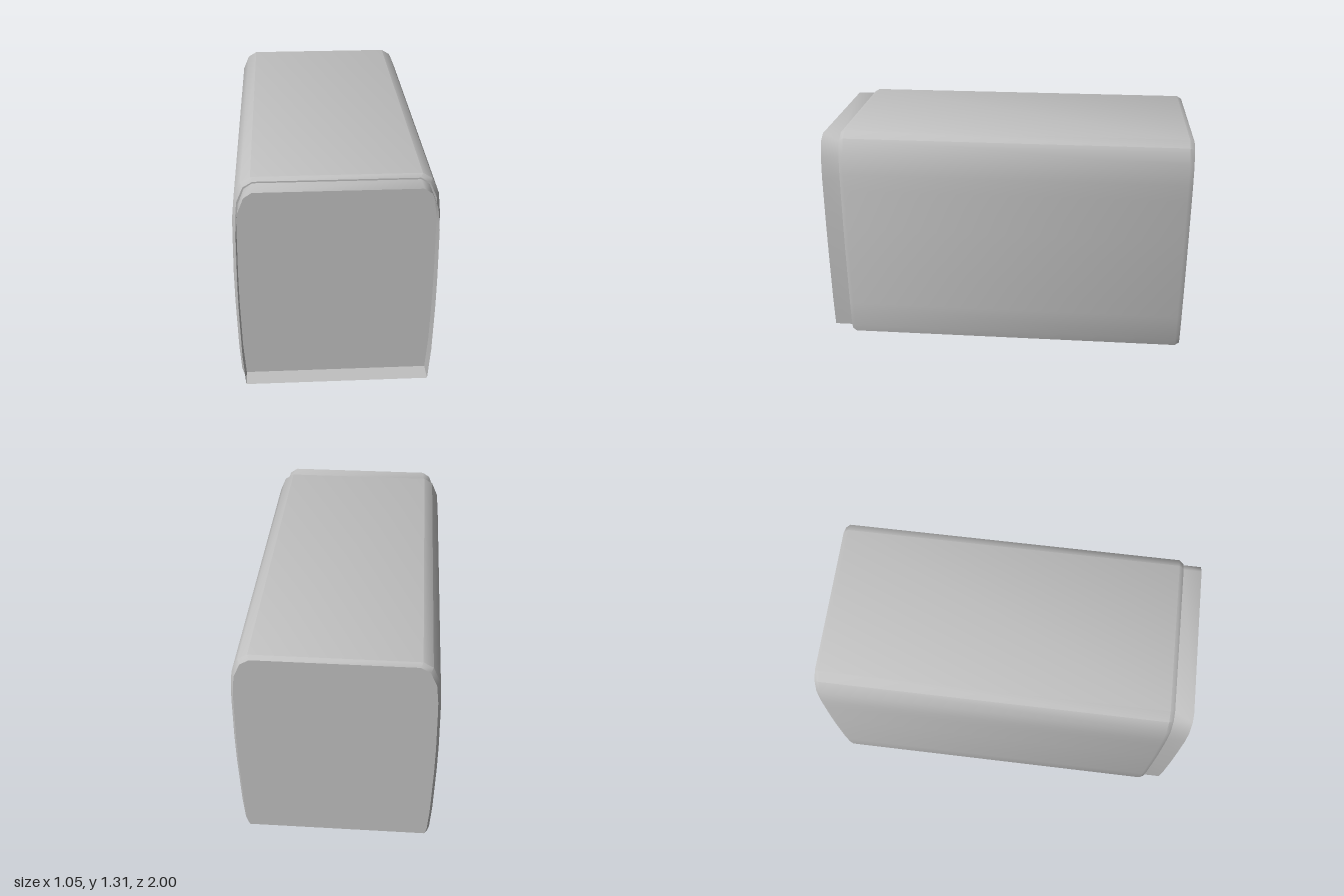
import * as THREE from 'three';
import { toCreasedNormals } from 'three/addons/utils/BufferGeometryUtils.js';

// Right half of each cross-section, bottom to top
const BODY = [[0.49, 0.115], [0.498, 0.105], [0.51, 0.15], [0.519, 0.3], [0.525, 0.6], [0.525, 0.77],
  [0.52, 1.0], [0.517, 1.09], [0.505, 1.2], [0.47, 1.282], [0.42, 1.312]];
const COLLAR = [[0.485, 0.14], [0.497, 0.33], [0.502, 0.6], [0.502, 0.77], [0.497, 1.06],
  [0.484, 1.18], [0.452, 1.262], [0.41, 1.29]];

// Closed counter-clockwise outline, optionally shrunk about the middle
function outline(half, inset = 0) {
  const midY = 0.71;
  const right = half.map(([x, y]) => [
    x * (1 - inset / 0.525),
    y > midY ? midY + (y - midY) * (1 - inset / 0.6) : Math.max(y, inset ? 0.115 : 0),
  ]);
  return [...right, ...right.slice().reverse().map(([x, y]) => [-x, y])];
}

// Skin through a list of [outline, z] sections
function loft(sections) {
  const pos = [], index = [], n = sections[0][0].length;
  for (const [pts, z] of sections) for (const [x, y] of pts) pos.push(x, y, z);
  for (let i = 0; i < sections.length - 1; i++) {
    for (let j = 0; j < n; j++) {
      const a = i * n + j, b = i * n + (j + 1) % n;
      index.push(a, b, b + n, a, b + n, a + n);
    }
  }
  const g = new THREE.BufferGeometry();
  g.setAttribute('position', new THREE.Float32BufferAttribute(pos, 3));
  g.setIndex(index);
  return toCreasedNormals(g, 0.7);
}

export function createModel() {
  const model = new THREE.Group();
  model.name = 'boxBody';
  const grey = new THREE.MeshStandardMaterial({ color: 0xc0c0c0, side: THREE.DoubleSide });
  grey.name = 'plain grey';
  const add = (name, geometry, x = 0, y = 0, z = 0) => {
    const mesh = new THREE.Mesh(geometry, grey);
    mesh.name = name;
    mesh.position.set(x, y, z);
    model.add(mesh);
    return mesh;
  };

  // Main shell with small bevels at both ends
  const full = outline(BODY), small = outline(BODY, 0.014);
  add('shell', loft([[small, -1], [full, -0.975], [full, 0.875], [small, 0.9]]));

  // End walls
  const wall = new THREE.ShapeGeometry(new THREE.Shape(small.map(([x, y]) => new THREE.Vector2(x, y))));
  add('frontWall', wall, 0, 0, 0.9);
  add('backWall', wall, 0, 0, -1).rotation.y = Math.PI;

  // Open collar in front of the front wall
  const rim = outline(COLLAR);
  add('collar', loft([[rim, 0.9], [rim, 1]]));

  // Rails and half-sunk eight-sided wheels
  const wheel = new THREE.CylinderGeometry(0.113, 0.113, 0.04, 8);
  wheel.rotateZ(Math.PI / 2);
  for (const side of [-1, 1]) {
    add('rail', new THREE.BoxGeometry(0.08, 0.02, 0.94), side * 0.32, 0.11, -0.05);
    for (const z of [0.313, -0.405]) add('wheel', wheel, side * 0.3, 0.113, z);
  }
  return model;
}
